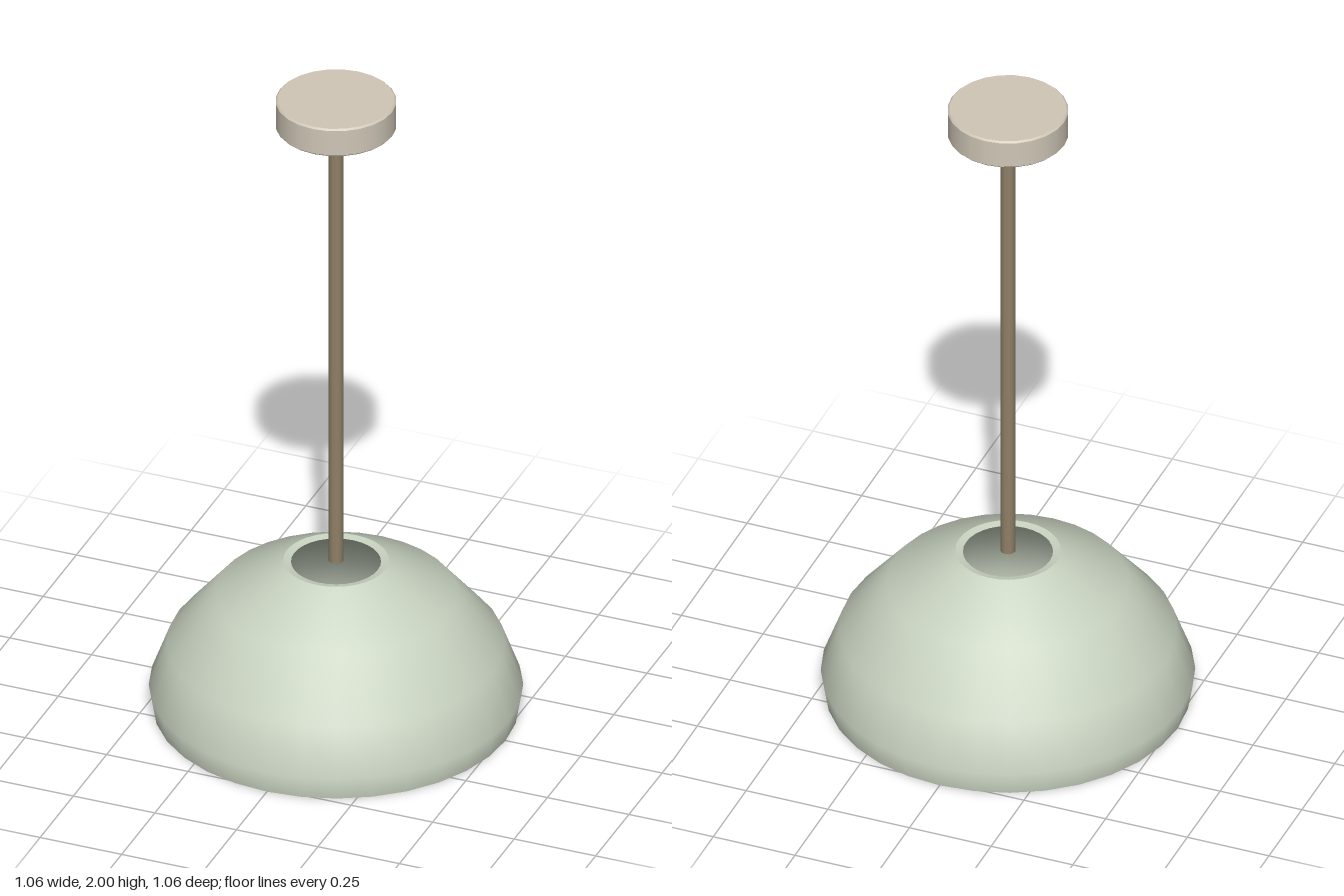
import * as THREE from 'three';
import { mergeGeometries } from 'three/addons/utils/BufferGeometryUtils.js';

const mat = (color) => new THREE.MeshStandardMaterial({ color });

// Lathe from [radius, y] pairs
const lathe = (pts, segments) =>
  new THREE.LatheGeometry(pts.map(([r, y]) => new THREE.Vector2(r, y)), segments);

// Separate lathes joined together, so the edges between them stay sharp
const sharpLathe = (runs, segments) => mergeGeometries(runs.map((run) => lathe(run, segments)));

function add(group, name, geometry, material, y = 0) {
  const mesh = new THREE.Mesh(geometry, material);
  mesh.name = name;
  mesh.position.y = y;
  group.add(mesh);
}

export function createModel() {
  const lamp = new THREE.Group();
  lamp.name = 'pendantLamp';

  // Domed shade: a thick shell, open above and below
  const outer = [[0.52, 0], [0.532, 0.07], [0.48, 0.21], [0.345, 0.37], [0.15, 0.48]];
  const inner = [[0.128, 0.475], [0.325, 0.35], [0.455, 0.2], [0.505, 0.07], [0.495, 0]];
  const shade = sharpLathe([
    outer,
    [outer[4], inner[0]],
    inner,
    [inner[4], outer[0]],
  ], 32);
  add(lamp, 'shade', shade, mat(0xc8d2c0));

  // Flat light disc inside the shade
  add(lamp, 'diffuser', new THREE.CylinderGeometry(0.385, 0.385, 0.05, 32), mat(0xe6cfa9), 0.075);

  // Hanging rod, ending level with the top of the shade
  add(lamp, 'rod', new THREE.CylinderGeometry(0.022, 0.022, 1.44, 12), mat(0x8f8068), 1.2);

  // Ceiling canopy with slightly bevelled edges
  const R = 0.172, b = 0.005, low = 1.91, top = 2;
  const canopy = sharpLathe([
    [[0, low], [R - b, low]],
    [[R - b, low], [R, low + b]],
    [[R, low + b], [R, top - b]],
    [[R, top - b], [R - b, top]],
    [[R - b, top], [0, top]],
  ], 24);
  add(lamp, 'canopy', canopy, mat(0xd0c7b7));

  return lamp;
}
